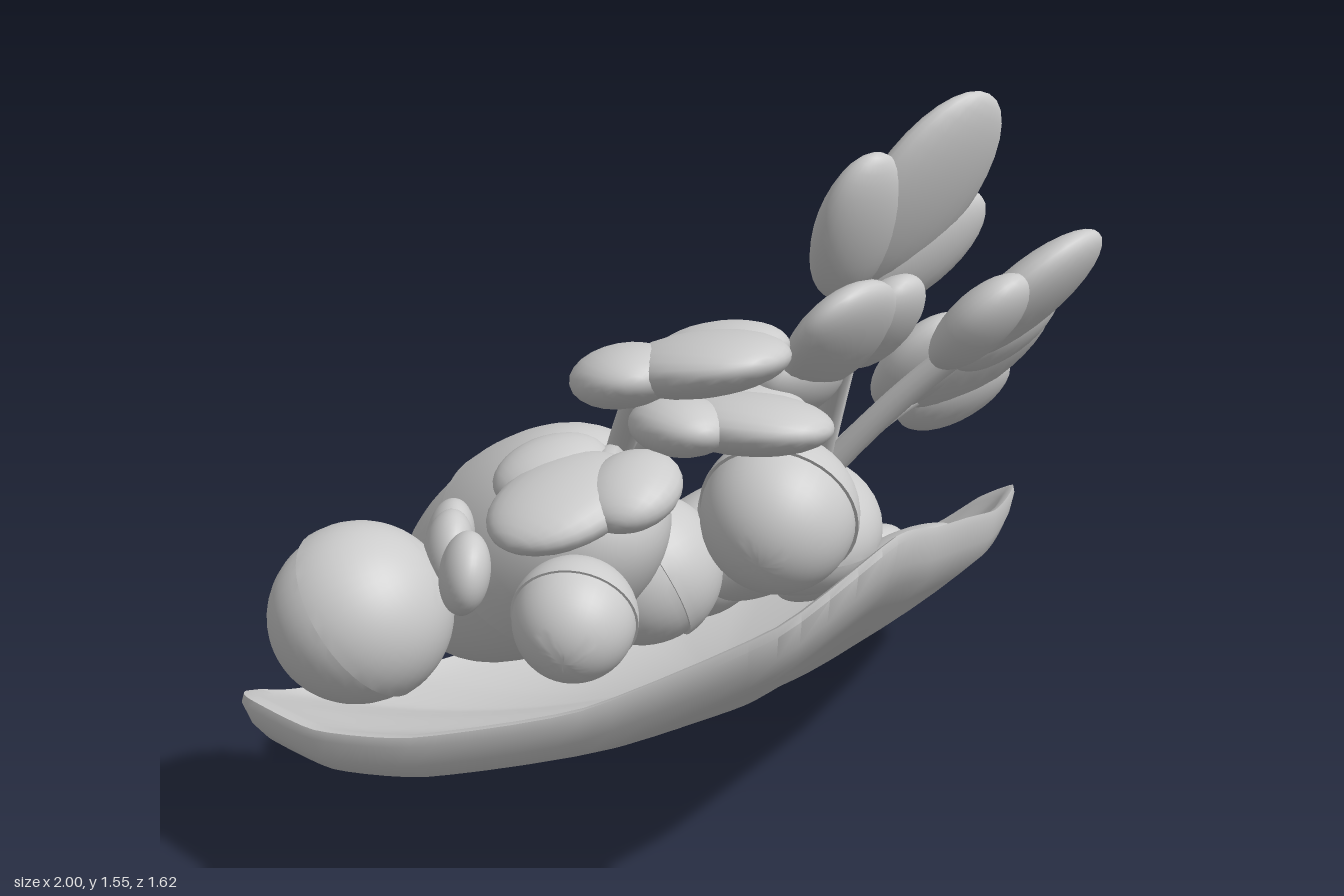
import * as THREE from 'three';
import { toCreasedNormals } from 'three/addons/utils/BufferGeometryUtils.js';

const mat = new THREE.MeshStandardMaterial({ color: 0xcccccc, side: THREE.DoubleSide });
const V = (a) => new THREE.Vector3(...a);
const UP = new THREE.Vector3(0, 1, 0);

function add(parent, geometry, name, pos = [0, 0, 0]) {
  const mesh = new THREE.Mesh(geometry, mat);
  mesh.name = name;
  mesh.position.set(...pos);
  parent.add(mesh);
  return mesh;
}

// Rim corners of the tilted dish: x, underside height, z
const RIM = [
  [-0.985, 0.33, -0.38], [-0.93, 0.3, -0.47], [-0.8, 0.24, -0.52], [-0.45, 0.14, -0.595],
  [-0.15, 0.08, -0.66], [0.2, 0.04, -0.75], [0.47, 0.015, -0.81], [0.61, 0.005, -0.77],
  [0.77, 0.03, -0.56], [0.9, 0.12, -0.3], [0.975, 0.24, -0.1], [1, 0.34, 0.02],
  [0.95, 0.41, 0.14], [0.7, 0.475, 0.29], [0.39, 0.575, 0.47], [0.05, 0.695, 0.64],
  [-0.22, 0.78, 0.76], [-0.4, 0.825, 0.805], [-0.6, 0.68, 0.7], [-0.8, 0.49, 0.4],
  [-0.94, 0.38, 0.08], [-0.995, 0.34, -0.15],
];

// Bowed shell: the rim scaled towards a centre, underside then bevelled edge then upper side
function dishGeometry() {
  const rim = new THREE.CatmullRomCurve3(RIM.map(V), true, 'catmullrom', 0.3).getPoints(110);
  rim.pop();
  const c = V([0.1, 0.125, -0.1]);
  const rings = [];
  for (let i = 0; i <= 12; i++) rings.push([0.96 * i / 12, 0]);
  rings.push([0.985, 0.025], [1, 0.065], [0.995, 0.085], [0.975, 0.092]);
  for (let i = 11; i >= 0; i--) rings.push([0.95 * i / 11, 0.065 + 0.02 * (i / 11) ** 3]);
  const pos = [], index = [], n = rim.length;
  for (const [r, lift] of rings) for (const p of rim) {
    const dx = p.x - c.x, dz = p.z - c.z;
    const slope = -0.05 * dx + 0.42 * dz;
    pos.push(c.x + r * dx, c.y + r * slope + r * r * (p.y - c.y - slope) + lift, c.z + r * dz);
  }
  for (let i = 0; i < rings.length - 1; i++) for (let j = 0; j < n; j++) {
    const a = i * n + j, b = i * n + (j + 1) % n;
    index.push(a, a + n, b, b, a + n, b + n);
  }
  const g = new THREE.BufferGeometry();
  g.setAttribute('position', new THREE.Float32BufferAttribute(pos, 3));
  g.setIndex(index);
  return toCreasedNormals(g, 0.7);
}

// Rounded nut: a cap slightly wider than the body, meeting at a seam
function nut(parent, name, pos, axis, radius, capLength, bodyLength, fullness = 1) {
  const pts = [];
  const arc = (r, len, from, to, power) => {
    for (let i = 0; i <= 14; i++) {
      const t = from + (to - from) * i / 14;
      pts.push(new THREE.Vector2(r * Math.pow(Math.max(0, Math.cos(t)), power), len * Math.sin(t)));
    }
  };
  arc(radius * 0.96, bodyLength, -Math.PI / 2, 0, (1 + fullness) / 2);
  arc(radius, capLength, 0, Math.PI / 2, fullness);
  const mesh = add(parent, toCreasedNormals(new THREE.LatheGeometry(pts, 40), 0.6), name, pos);
  mesh.quaternion.setFromUnitVectors(UP, V(axis).normalize());
}

// Squashed ball with its short axis along the given direction
function lens(parent, name, pos, axis, radius, half) {
  const mesh = add(parent, new THREE.SphereGeometry(1, 36, 22), name, pos);
  mesh.scale.set(radius, half, radius);
  mesh.quaternion.setFromUnitVectors(UP, V(axis).normalize());
}

// Puffy three-lobed leaf running from base to tip
function leaf(parent, base, tip, normal, width) {
  const g = new THREE.Group();
  g.name = 'leaf';
  const dir = V(tip).sub(V(base)), len = dir.length();
  dir.normalize();
  const side = dir.clone().cross(V(normal)).normalize();
  const up = side.clone().cross(dir);
  g.quaternion.setFromRotationMatrix(new THREE.Matrix4().makeBasis(side, dir, up));
  g.position.set(...base);
  const lobe = (x, y, rx, ry, turn, name) => {
    const m = add(g, new THREE.SphereGeometry(1, 24, 16), name, [x, y, 0]);
    m.scale.set(rx, ry, 0.06);
    m.rotation.z = turn;
  };
  lobe(0, len * 0.56, width * 0.35, len * 0.44, 0, 'middleLobe');
  for (const s of [-1, 1]) lobe(s * width * 0.26, len * 0.34, width * 0.25, len * 0.32, -s * 0.45, 'sideLobe');
  parent.add(g);
}

function stem(parent, a, b) {
  const mid = V(a).lerp(V(b), 0.5).add(V([0, 0.04, 0]));
  const curve = new THREE.QuadraticBezierCurve3(V(a), mid, V(b));
  add(parent, new THREE.TubeGeometry(curve, 12, 0.03, 12), 'stem');
}

// Leaves on stems that share one root; each leaf is base, tip, normal, width
function sprig(parent, name, root, leaves) {
  const g = new THREE.Group();
  g.name = name;
  parent.add(g);
  for (const [base, tip, normal, width] of leaves) {
    leaf(g, base, tip, normal, width);
    stem(g, root, V(base).lerp(V(tip), 0.2).toArray());
  }
}

export function createModel() {
  const model = new THREE.Group();
  model.name = 'dishOfNuts';
  add(model, dishGeometry(), 'dish');

  // Nuts
  nut(model, 'largeNut', [-0.27, 0.56, -0.3], [0, 0.59, 0.81], 0.237, 0.36, 0.41, 0.65);
  nut(model, 'leftNut', [-0.765, 0.56, -0.28], [0.4, 0.5, 0.6], 0.19, 0.19, 0.19);
  nut(model, 'middleNut', [0.1, 0.39, -0.32], [0.8, 0.4, 0.3], 0.185, 0.185, 0.185);
  nut(model, 'frontNut', [-0.08, 0.72, 0.25], [0.8, 0.3, -0.4], 0.17, 0.17, 0.17);
  nut(model, 'smallNut', [-0.62, 0.64, 0.2], [0.7, 0.3, -0.5], 0.125, 0.125, 0.125);
  nut(model, 'halfNut', [0.455, 0.33, -0.52], [-0.2, 0.78, -0.6], 0.205, 0.08, 0.22, 0.8);

  // Flattened bulb and discs
  nut(model, 'sproutingBulb', [0.215, 0.57, 0.03], [0, 0.97, 0.2], 0.212, 0.14, 0.15, 0.75);
  for (const p of [[0.43, 0.35, -0.19], [0.62, 0.3, -0.15], [0.55, 0.38, 0.08]])
    lens(model, 'disc', p, [0, 0.81, -0.58], 0.175, 0.07);

  sprig(model, 'rightSprig', [0.25, 0.66, 0.07], [
    [[0.29, 1.06, 0.1], [0.47, 1.54, 0.35], [-0.25, -0.5, 0.85], 0.43],
    [[0.34, 0.96, 0.34], [0.53, 1.27, 0.6], [0.1, -0.6, 0.8], 0.42],
    [[0.47, 0.77, 0.09], [0.72, 1.06, 0.36], [-0.2, -0.6, 0.75], 0.44],
    [[0.18, 0.96, 0.2], [-0.12, 1.21, 0.43], [0, -0.6, 0.8], 0.4],
  ]);
  sprig(model, 'leftSprig', [-0.27, 0.8, -0.04], [
    [[-0.39, 1.09, 0.13], [-0.48, 1.19, 0.56], [0, 1, -0.2], 0.42],
    [[-0.26, 0.95, 0.08], [-0.24, 0.99, 0.5], [0.1, 1, -0.1], 0.38],
    [[-0.38, 0.91, 0.12], [-0.74, 0.81, 0.15], [-0.25, 1, 0], 0.4],
  ]);

  // Three small buds beside the left nut
  const buds = new THREE.Group();
  buds.name = 'smallBuds';
  model.add(buds);
  for (const p of [[-0.53, 0.66, -0.27], [-0.61, 0.68, -0.18], [-0.67, 0.68, -0.06]])
    lens(buds, 'bud', p, [0.75, -0.2, 0.55], 0.085, 0.05);
  return model;
}
